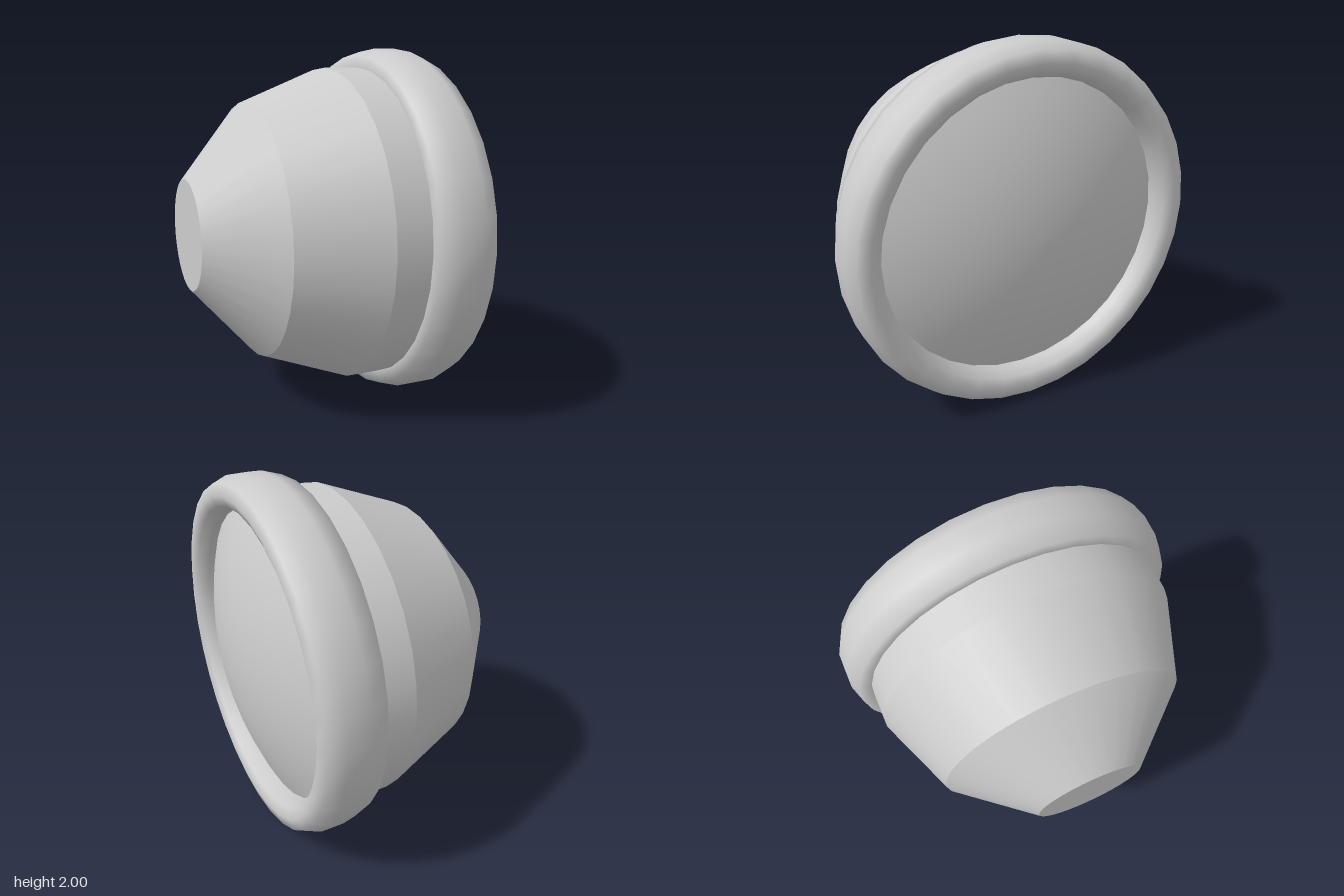
import * as THREE from 'three';

export function createModel() {
  const group = new THREE.Group();
  const grey = new THREE.MeshStandardMaterial({ color: 0xcccccc });
  grey.name = 'lightGrey';

  // Turned part about the x axis; profile points are [x, radius], from back to front
  function turned(name, profile) {
    const points = profile.map(([x, r]) => new THREE.Vector2(r, x));
    const geometry = new THREE.LatheGeometry(points, 32);
    geometry.rotateZ(-Math.PI / 2);
    const mesh = new THREE.Mesh(geometry, grey);
    mesh.name = name;
    mesh.position.y = 1;
    group.add(mesh);
  }

  // Housing: separate bands keep the edges between them crisp
  const housing = [[-0.715, 0], [-0.715, 0.31], [-0.365, 0.715], [0.1, 0.895], [0.31, 0.895]];
  const names = ['rearCap', 'rearCone', 'housingTaper', 'housingCollar'];
  names.forEach((name, i) => turned(name, [housing[i], housing[i + 1]]));

  // Rounded rim around the lens
  turned('rim', [
    [0.3, 0.89], [0.3, 0.965], [0.41, 1], [0.54, 1], [0.625, 0.965],
    [0.643, 0.9], [0.62, 0.845], [0.56, 0.82], [0.5, 0.815],
  ]);

  // Shallow domed lens
  const dome = [];
  for (let i = 0; i <= 10; i++) {
    const r = 0.825 * (1 - i / 10);
    dome.push([0.71 - 0.28 * r * r, r]);
  }
  turned('lens', dome);

  return group;
}
